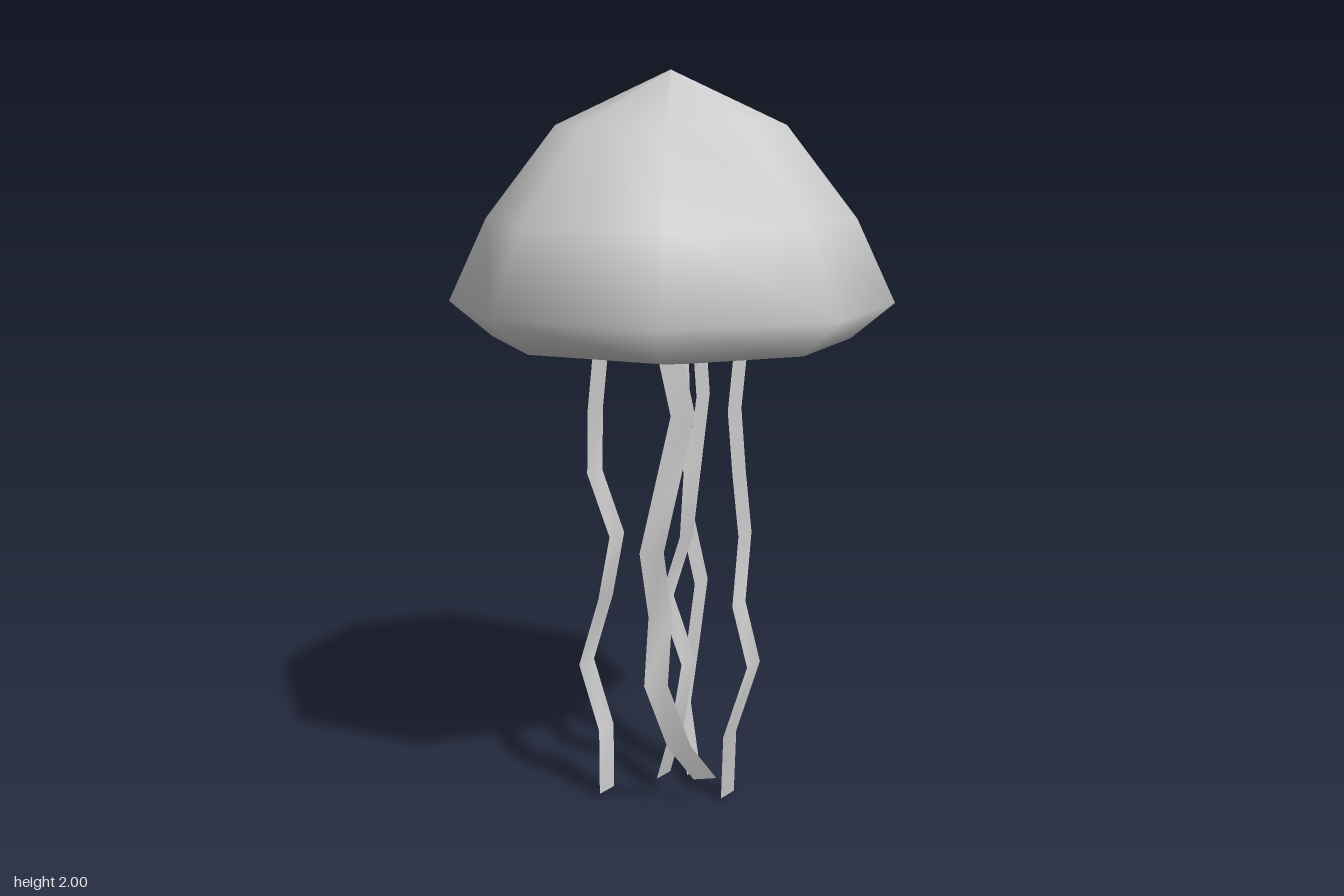
import * as THREE from 'three';

export function createModel() {
  const group = new THREE.Group();
  const grey = new THREE.MeshStandardMaterial({ color: 0xcccccc });
  grey.name = 'pale grey';
  grey.side = THREE.DoubleSide;

  // Bell: eight-sided dome; each ring is [radius in x, y, radius in z]
  const rings = [[0, 1.23, 0], [0.48, 1.305, 0.465], [0.595, 1.4, 0.58],
    [0.49, 1.62, 0.51], [0.302, 1.86, 0.31], [0, 2, 0]];
  const bellGeo = new THREE.LatheGeometry(rings.map(([r, y]) => new THREE.Vector2(r, y)), 8);
  const p = bellGeo.attributes.position;
  for (let i = 0; i < p.count; i++) {
    const [rx, , rz] = rings[i % rings.length];
    if (rx > 0) p.setZ(i, p.getZ(i) * rz / rx);
  }
  const bell = new THREE.Mesh(bellGeo, grey);
  bell.name = 'bell';
  group.add(bell);

  // Tentacle: flat ribbon following [x, y, z] points, widened along (dx, dz)
  const addTentacle = (name, path, dx, dz) => {
    const w = 0.032, pos = [], index = [];
    path.forEach(([x, y, z], i) => {
      pos.push(x - dx * w, y, z - dz * w, x + dx * w, y, z + dz * w);
      if (i > 0) {
        const a = 2 * i - 2;
        index.push(a, a + 2, a + 1, a + 1, a + 2, a + 3);
      }
    });
    const geo = new THREE.BufferGeometry();
    geo.setAttribute('position', new THREE.Float32BufferAttribute(pos, 3));
    geo.setIndex(index);
    geo.computeVertexNormals();
    const mesh = new THREE.Mesh(geo, grey);
    mesh.name = name;
    group.add(mesh);
  };

  addTentacle('frontTentacle', [[0.01, 1.27, 0.205], [0.04, 1.13, 0.205], [0, 0.95, 0.205],
    [-0.04, 0.77, 0.23], [-0.02, 0.58, 0.18], [-0.03, 0.4, 0.22], [0.03, 0.2, 0.16],
    [0.1, 0.08, 0.1]], 0.98, -0.18);
  addTentacle('rightTentacle', [[-0.185, 1.27, 0.045], [-0.2, 1.12, 0.045], [-0.205, 0.94, 0.03],
    [-0.147, 0.76, 0.02], [-0.18, 0.58, 0.02], [-0.235, 0.39, 0.02], [-0.18, 0.2, 0.035],
    [-0.18, 0.01, 0.035]], 0.57, -0.82);
  addTentacle('leftTentacle', [[0.187, 1.27, 0.045], [0.173, 1.12, 0.06], [0.187, 0.94, 0.03],
    [0.205, 0.76, 0], [0.19, 0.57, 0.035], [0.232, 0.4, 0.05], [0.168, 0.2, 0.065],
    [0.163, 0, 0.03]], 0.57, -0.82);
  addTentacle('backTentacle', [[0.075, 1.27, -0.14], [0.085, 1.12, -0.165], [0.065, 0.94, -0.145],
    [0.045, 0.76, -0.122], [0.082, 0.57, -0.168], [0.06, 0.39, -0.145], [0.035, 0.2, -0.135],
    [0.063, 0, -0.12]], 0.57, -0.82);
  addTentacle('middleTentacle', [[0.03, 1.27, 0.03], [0.035, 1.12, 0.03], [0.055, 0.94, 0.02],
    [0.045, 0.76, 0.01], [-0.01, 0.58, 0.02], [0.05, 0.39, 0.01], [0.02, 0.2, 0.02],
    [-0.02, 0.045, 0.005]], 0.57, -0.82);

  return group;
}
